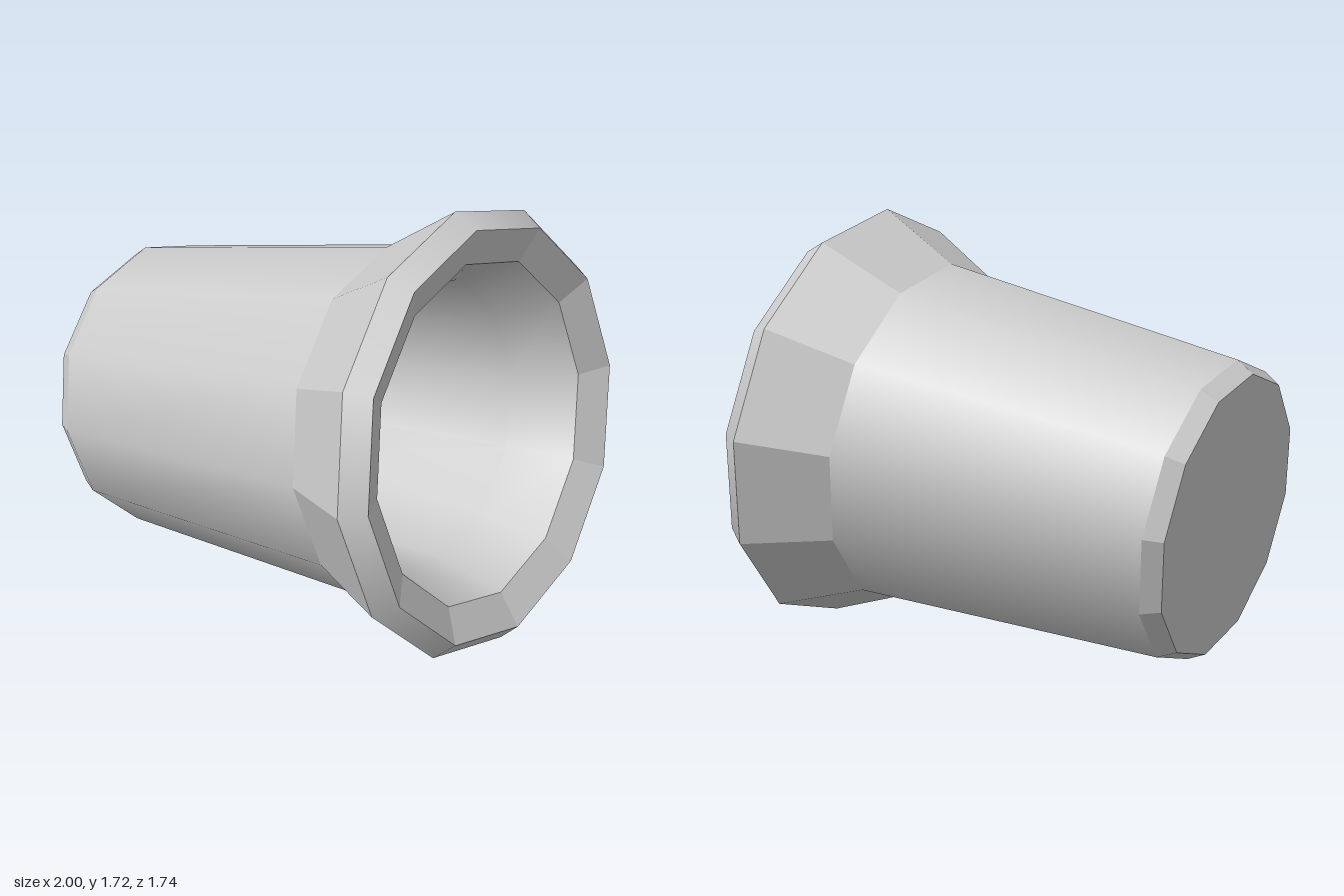
import * as THREE from 'three';

const SIDES = 12;
const TILT = THREE.MathUtils.degToRad(9.25);

export function createModel() {
  const model = new THREE.Group();
  const cup = new THREE.Group();
  cup.name = 'cup';
  model.add(cup);

  const smooth = new THREE.MeshStandardMaterial({ color: 0xcccccc });
  const faceted = new THREE.MeshStandardMaterial({ color: 0xcccccc, flatShading: true });

  // Ring of the cup swept from [radius, height] points; rising points face outwards
  function band(name, material, points) {
    const profile = points.map(([r, h]) => new THREE.Vector2(r, h));
    const mesh = new THREE.Mesh(new THREE.LatheGeometry(profile, SIDES), material);
    mesh.name = name;
    cup.add(mesh);
  }

  function disc(name, radius, height, up) {
    const mesh = new THREE.Mesh(new THREE.CircleGeometry(radius, SIDES), faceted);
    mesh.name = name;
    mesh.rotation.x = up ? -Math.PI / 2 : Math.PI / 2;
    mesh.position.y = height;
    cup.add(mesh);
  }

  // Outside, from the base up to the rim
  disc('base', 0.562, 0, false);
  band('baseChamfer', faceted, [[0.562, 0], [0.602, 0.071]]);
  band('outerWall', smooth, [[0.602, 0.071], [0.709, 1.373]]);
  band('flare', faceted, [[0.709, 1.373], [0.871, 1.712]]);
  band('rim', smooth, [[0.871, 1.712], [0.806, 1.8]]);

  // Inside, from the rim down to the floor
  band('innerLip', faceted, [[0.806, 1.8], [0.67, 1.735]]);
  band('innerWall', smooth, [[0.67, 1.735], [0.573, 1.47], [0.47, 0.14]]);
  disc('innerFloor', 0.47, 0.14, true);

  // Lay the cup on its side, mouth towards +x and slightly raised
  cup.rotation.z = TILT - Math.PI / 2;
  cup.position.set(-0.91, 0.595, 0);
  return model;
}
